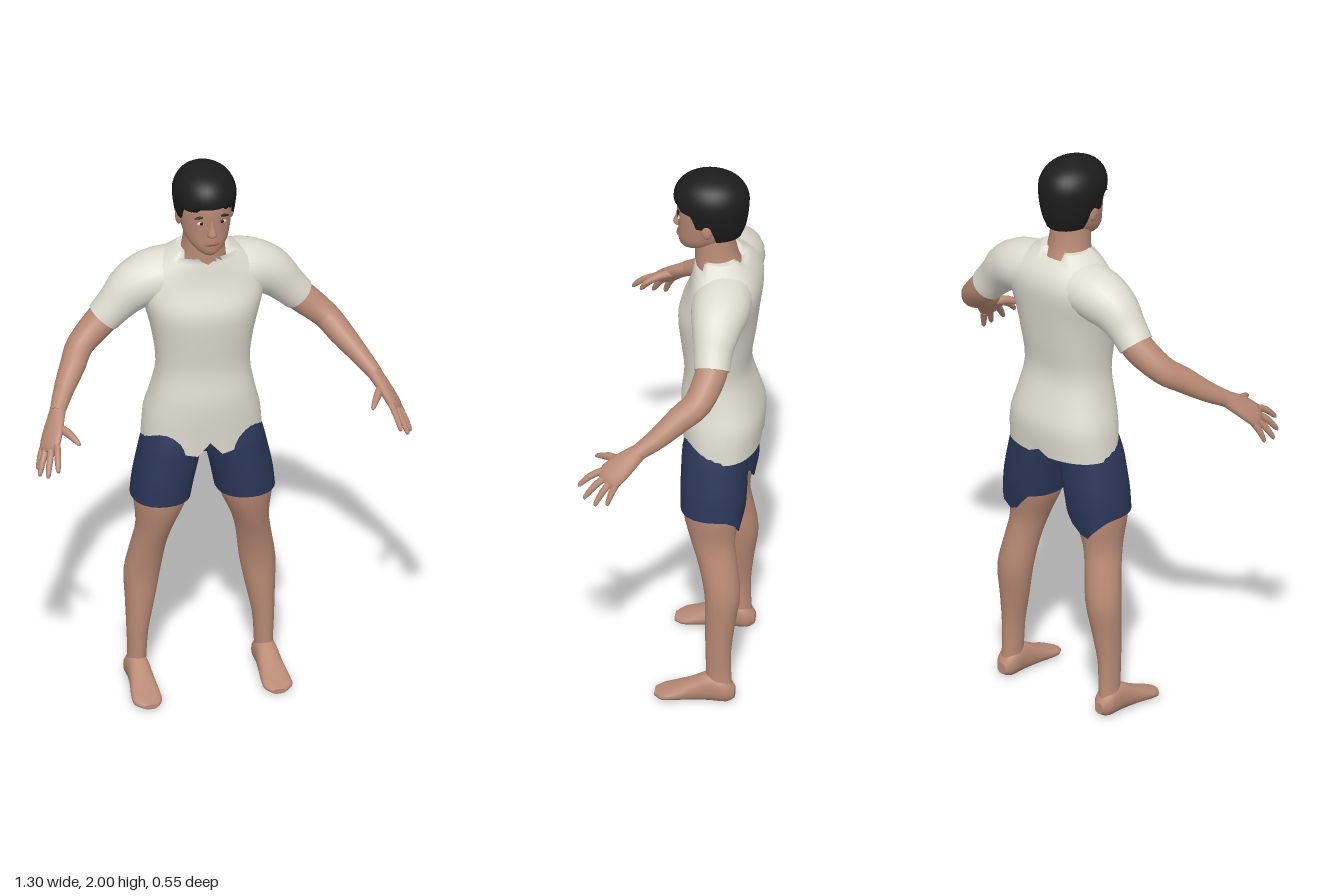
import * as THREE from 'three';

const V = (x, y, z) => new THREE.Vector3(x, y, z);
const flat = (color) => new THREE.MeshStandardMaterial({ color });
const UP = [V(0, 0, 1), V(1, 0, 0)];       // level rings, path runs up: radii are z, x
const FORWARD = [V(1, 0, 0), V(0, 1, 0)];  // upright rings, path runs forward: radii are x, y

// Closed loft through rows of [x, y, z, radiusU, radiusV], smoothed between rows.
// frame: fixed ring axes, or a Vector3 hint so that rings stay square to the path.
function loft(rows, { frame = V(0, 0, 1), n = 16, sub = 3, power = 2, rule } = {}) {
  const centre = new THREE.CatmullRomCurve3(rows.map((r) => V(r[0], r[1], r[2])));
  const radius = new THREE.CatmullRomCurve3(rows.map((r) => V(r[3], r[4], 0)));
  centre.curveType = radius.curveType = 'catmullrom';
  const steps = (rows.length - 1) * sub;
  const pos = [], index = [];
  const round = (c) => Math.sign(c) * Math.abs(c) ** (2 / power);
  for (let i = 0; i <= steps; i++) {
    const c = centre.getPoint(i / steps), r = radius.getPoint(i / steps);
    let [u, v] = Array.isArray(frame) ? frame : [];
    if (!u) {
      const t = centre.getTangent(i / steps);
      u = frame.clone().addScaledVector(t, -t.dot(frame)).normalize();
      v = t.clone().cross(u);
    }
    for (let j = 0; j < n; j++) {
      const a = (j / n) * Math.PI * 2;
      const p = c.clone().addScaledVector(u, r.x * round(Math.cos(a)))
        .addScaledVector(v, r.y * round(Math.sin(a)));
      if (rule) rule(p);
      pos.push(p.x, p.y, p.z);
      if (i < steps) {
        const k = (j + 1) % n, b = i * n;
        index.push(b + j, b + k, b + n + j, b + k, b + n + k, b + n + j);
      }
    }
  }
  // end caps on their own vertices, so hems stay crisp
  for (const end of [0, steps]) {
    const base = pos.length / 3;
    const ring = pos.slice(end * n * 3, (end + 1) * n * 3);
    const c = centre.getPoint(end / steps);
    if (rule) rule(c);
    pos.push(...ring, c.x, c.y, c.z);
    for (let j = 0; j < n; j++) {
      const k = (j + 1) % n;
      if (end) index.push(base + j, base + k, base + n);
      else index.push(base + k, base + j, base + n);
    }
  }
  const g = new THREE.BufferGeometry();
  g.setAttribute('position', new THREE.Float32BufferAttribute(pos, 3));
  g.setIndex(index);
  g.computeVertexNormals();
  return g;
}

function blob(x, y, z, rx, ry, rz, turn = 0) {
  return new THREE.SphereGeometry(1, 14, 10).scale(rx, ry, rz).rotateZ(turn).translate(x, y, z);
}

function mirrored(geo) {
  const g = geo.clone().scale(-1, 1, 1), id = g.index.array;
  for (let i = 0; i < id.length; i += 3) [id[i], id[i + 1]] = [id[i + 1], id[i]];
  g.computeVertexNormals();
  return g;
}

export function createModel() {
  const model = new THREE.Group();
  model.name = 'person';
  const skin = flat(0xb98a75), cloth = flat(0xdfdcd0), navy = flat(0x2b3758);
  const black = flat(0x1d1d1d), lip = flat(0x9c6558), white = flat(0xd8d0c8);
  skin.name = 'skin'; cloth.name = 'shirt cloth'; navy.name = 'shorts cloth';
  black.name = 'hair black'; lip.name = 'lip'; white.name = 'eye white';
  const add = (name, geo, mat) => {
    const m = new THREE.Mesh(geo, mat);
    m.name = name;
    model.add(m);
  };
  const pair = (name, geo, mat) => {
    add('left ' + name, geo, mat);
    add('right ' + name, mirrored(geo), mat);
  };
  // level section from half width and front / back depth
  const level = (y, rx, front, back) => [0, y, (front + back) / 2, (front - back) / 2, rx];

  // Shirt body with a notched hem and an open collar
  add('shirt', loft([
    level(0.95, 0.207, 0, -0.262), level(1.05, 0.198, 0.008, -0.27), level(1.13, 0.178, 0.01, -0.25),
    level(1.235, 0.16, 0, -0.222), level(1.35, 0.172, 0.012, -0.236), level(1.46, 0.198, 0.02, -0.25),
    level(1.54, 0.222, -0.008, -0.26), level(1.59, 0.212, -0.022, -0.256),
    level(1.635, 0.165, -0.03, -0.235), level(1.685, 0.09, -0.04, -0.19),
  ], {
    frame: UP, n: 40, power: 2.35,
    rule: (p) => {
      const x = Math.abs(p.x);
      if (p.y < 0.955) {
        if (p.z > -0.1) p.y = x < 0.04 ? 0.968 : 0.92 + 0.25 * Math.max(0, x - 0.05);
        else p.y = x < 0.04 ? 0.965 : 0.945;
      }
      if (p.y > 1.68 && p.z > -0.075) p.y -= 0.045;
      if (p.y > 1.68 && p.z < -0.18 && x < 0.04) p.y -= 0.03;
    },
  }), cloth);
  pair('sleeve', loft([
    [0.09, 1.575, -0.145, 0.1, 0.09], [0.17, 1.562, -0.145, 0.1, 0.092],
    [0.24, 1.53, -0.142, 0.084, 0.084], [0.295, 1.476, -0.14, 0.067, 0.067],
    [0.338, 1.428, -0.142, 0.061, 0.06],
  ], { n: 20 }), cloth);

  // Shorts: seat and two legs whose hems dip at the back
  add('shorts seat', loft([level(0.93, 0.08, -0.015, -0.2), level(0.96, 0.15, -0.006, -0.225),
    level(1.02, 0.16, -0.01, -0.235)], { frame: UP, n: 24 }), navy);
  pair('shorts leg', loft([
    [0.146, 0.735, -0.117, 0.11, 0.102], [0.135, 0.81, -0.117, 0.113, 0.105],
    [0.12, 0.88, -0.117, 0.113, 0.106], [0.106, 0.95, -0.117, 0.111, 0.104],
    [0.095, 1.02, -0.12, 0.1, 0.09],
  ], {
    frame: UP, n: 24, power: 2.2,
    rule: (p) => {
      if (p.y > 0.74 || p.z > -0.16) return;
      const dip = Math.max(0, 1 - Math.abs(p.x - 0.165) / 0.075);
      p.y -= 0.085 * dip;
      p.z = Math.max(p.z, -0.225 + 0.02 * dip);
    },
  }), navy);

  // Bare legs and feet
  pair('leg', loft([
    [0.225, 0.04, -0.15, 0.045, 0.036], [0.22, 0.1, -0.147, 0.043, 0.032],
    [0.218, 0.2, -0.145, 0.044, 0.037], [0.209, 0.31, -0.15, 0.052, 0.05],
    [0.2, 0.42, -0.156, 0.061, 0.062], [0.183, 0.53, -0.138, 0.066, 0.06],
    [0.165, 0.62, -0.118, 0.076, 0.064], [0.148, 0.72, -0.112, 0.097, 0.09],
    [0.14, 0.8, -0.112, 0.1, 0.095],
  ], { frame: UP, n: 20 }), skin);
  pair('foot', loft([
    [0.222, 0.035, -0.202, 0.018, 0.02], [0.222, 0.046, -0.175, 0.038, 0.045],
    [0.222, 0.054, -0.12, 0.039, 0.054], [0.223, 0.039, -0.06, 0.043, 0.039],
    [0.225, 0.024, 0, 0.05, 0.024], [0.226, 0.016, 0.04, 0.049, 0.016],
    [0.222, 0.011, 0.07, 0.024, 0.009],
  ], { frame: FORWARD, n: 18, power: 2.3 }), skin);

  // Arms, palms and fingers
  pair('arm', loft([
    [0.3, 1.47, -0.14, 0.052, 0.05], [0.345, 1.42, -0.14, 0.055, 0.054],
    [0.425, 1.352, -0.108, 0.05, 0.046], [0.465, 1.308, -0.052, 0.046, 0.043],
    [0.513, 1.255, 0.015, 0.037, 0.034], [0.552, 1.212, 0.082, 0.028, 0.026],
  ], { n: 18 }), skin);
  const spread = V(-0.5, 0.4, 0.75);
  pair('palm', loft([
    [0.545, 1.22, 0.07, 0.028, 0.025], [0.576, 1.175, 0.127, 0.044, 0.021],
    [0.598, 1.136, 0.168, 0.046, 0.018], [0.606, 1.12, 0.183, 0.03, 0.01],
  ], { frame: spread }), skin);
  const fingers = {
    'index finger': [[0.58, 1.149, 0.195], [0.595, 1.09, 0.275]],
    'middle finger': [[0.595, 1.137, 0.178], [0.625, 1.06, 0.252]],
    'ring finger': [[0.608, 1.126, 0.16], [0.645, 1.048, 0.212]],
    'little finger': [[0.614, 1.12, 0.142], [0.641, 1.05, 0.17]],
    thumb: [[0.565, 1.183, 0.125], [0.508, 1.16, 0.228]],
  };
  for (const [name, [a, b]] of Object.entries(fingers)) {
    const at = (t) => a.map((v, i) => v + (b[i] - v) * t);
    const lift = at(0.5);
    lift[1] += 0.008;
    const k = name === 'thumb' ? 1.25 : 1;
    pair(name, loft([[...a, 0.012 * k, 0.012 * k], [...lift, 0.012 * k, 0.011 * k],
      [...at(0.93), 0.008, 0.008], [...b, 0.003, 0.003]], { frame: spread, n: 8, sub: 2 }), skin);
  }

  // Neck and head
  add('neck', loft([[0, 1.6, -0.115, 0.08, 0.09], [0, 1.645, -0.113, 0.081, 0.086],
    [0, 1.69, -0.105, 0.073, 0.074], [0, 1.75, -0.1, 0.068, 0.068], [0, 1.82, -0.1, 0.065, 0.065]],
  { frame: UP, n: 20 }), skin);
  add('head', loft([
    level(1.705, 0.022, 0.008, -0.05), level(1.72, 0.045, 0.02, -0.09),
    level(1.75, 0.07, 0.025, -0.14), level(1.79, 0.083, 0.025, -0.175),
    level(1.835, 0.089, 0.027, -0.188), level(1.88, 0.09, 0.03, -0.195),
    level(1.93, 0.085, 0.02, -0.19), level(1.97, 0.06, -0.01, -0.16),
  ], { frame: UP, n: 28 }), skin);
  add('nose', loft([[0, 1.782, 0.02, 0.007, 0.011], [0, 1.793, 0.026, 0.017, 0.017],
    [0, 1.82, 0.022, 0.013, 0.01], [0, 1.852, 0.021, 0.007, 0.007]], { frame: UP, n: 10 }), skin);
  pair('ear', blob(0.09, 1.825, -0.085, 0.012, 0.034, 0.021), skin);

  // Face details
  add('mouth', blob(0, 1.757, 0.024, 0.026, 0.007, 0.006), lip);
  pair('eye', blob(0.037, 1.838, 0.0175, 0.015, 0.0065, 0.0045), white);
  pair('pupil', blob(0.036, 1.839, 0.0205, 0.0065, 0.0062, 0.0035), black);
  pair('eyebrow', blob(0.04, 1.862, 0.0185, 0.021, 0.0045, 0.005, -0.1), black);

  // Hair cap, its lower edge raised over the face and ears
  add('hair', loft([
    level(1.768, 0.073, -0.005, -0.192), level(1.81, 0.094, 0.024, -0.207),
    level(1.87, 0.105, 0.036, -0.216), level(1.92, 0.107, 0.04, -0.216),
    level(1.96, 0.09, 0.022, -0.197), level(1.986, 0.06, -0.015, -0.16),
    level(2, 0.015, -0.07, -0.11),
  ], {
    frame: UP, n: 36,
    rule: (p) => {
      const edge = p.z > 0.015 ? 1.897 : p.z > -0.04 ? 1.88 : p.z > -0.075 ? 1.83
        : p.z > -0.11 ? 1.845 : 1.768;
      p.y = Math.min(2, Math.max(p.y, edge));
    },
  }), black);

  return model;
}
